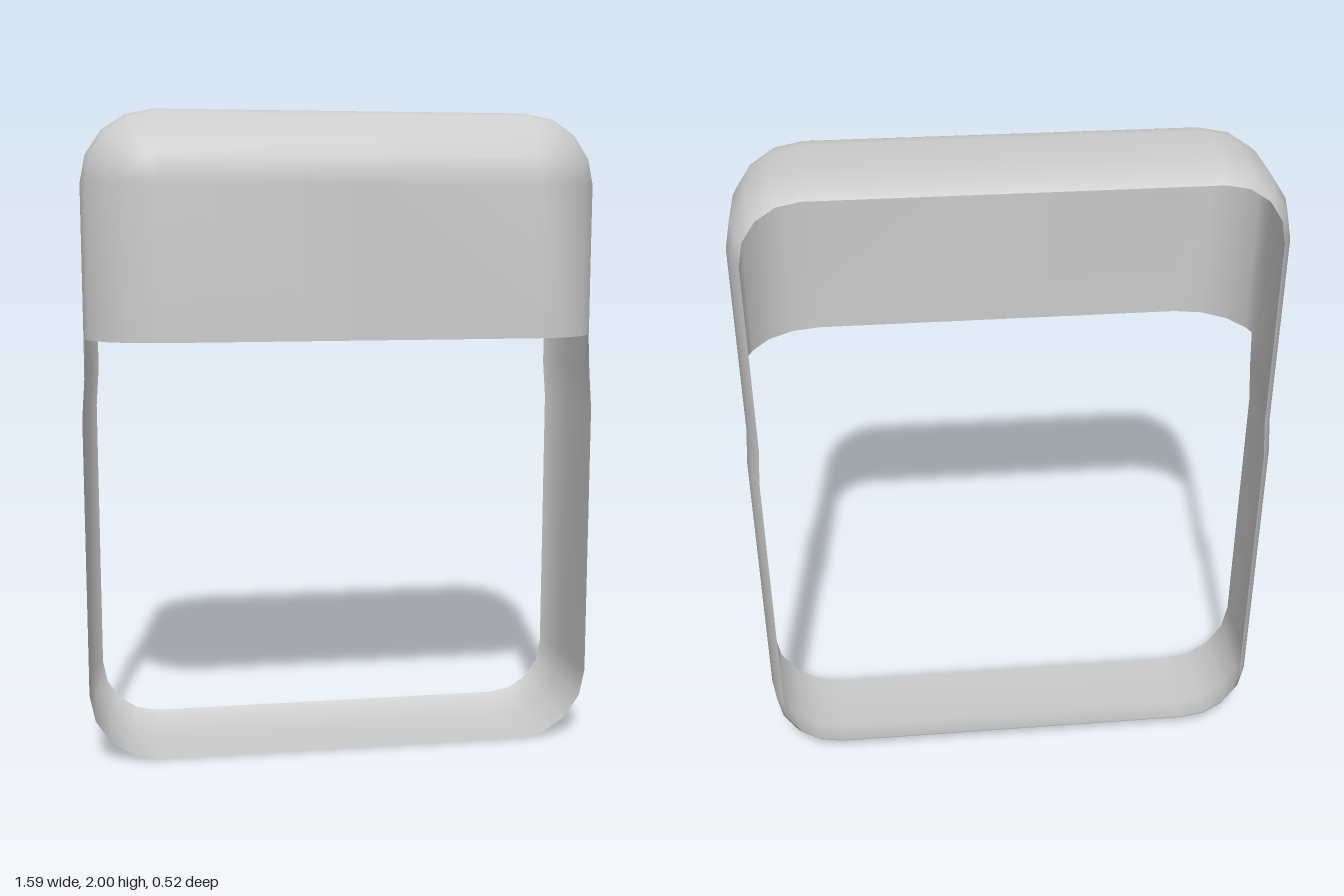
import * as THREE from 'three';
import { mergeGeometries, mergeVertices } from 'three/addons/utils/BufferGeometryUtils.js';

const R = 0.22, TOP = 2, HOOD_Y = 1.32;

// Half width: the lower frame is a little wider than the hood
const halfWidth = y => THREE.MathUtils.lerp(0.797, 0.788, THREE.MathUtils.clamp((y - 1.08) / 0.12, 0, 1));

// Rounded corner of the outline, drawn in by `inset`
function corner(sx, top, start, inset) {
  const r = R - inset, pts = [];
  const cx = sx * (halfWidth(top ? TOP : 0) - R), cy = top ? TOP - R : R;
  for (let i = 0; i <= 4; i++) {
    const a = start + i * Math.PI / 8;
    pts.push([cx + r * Math.cos(a), cy + r * Math.sin(a)]);
  }
  return pts;
}

const side = (sx, y, inset) => [sx * (halfWidth(y) - inset), y];

// Upper arch, from the left side over the top to the right side
const arch = s => [
  side(1, HOOD_Y, s), ...corner(1, true, 0, s),
  ...corner(-1, true, Math.PI / 2, s), side(-1, HOOD_Y, s),
];

// Lower part that closes the arch into a full loop
const lower = s => [
  side(-1, 1.2, s), side(-1, 1.08, s), ...corner(-1, false, Math.PI, s),
  ...corner(1, false, Math.PI * 1.5, s), side(1, 1.08, s), side(1, 1.2, s),
];

// Joins rows of points, running from back to front, into one surface
function loft(rows, closed) {
  const n = rows[0].length, index = [];
  for (let j = 0; j < rows.length - 1; j++) {
    for (let i = 0; i < (closed ? n : n - 1); i++) {
      const k = (i + 1) % n;
      const a = j * n + i, b = j * n + k, c = b + n, d = a + n;
      index.push(a, b, c, a, c, d);
    }
  }
  const g = new THREE.BufferGeometry();
  g.setAttribute('position', new THREE.Float32BufferAttribute(rows.flat(2), 3));
  g.setIndex(index);
  return g;
}

const atZ = (pts, z) => pts.map(([x, y]) => [x, y, z]);

export function createModel() {
  const group = new THREE.Group();
  group.name = 'hoodedFrame';

  // Open frame: back lip turned inward, straight band, front edge
  const seam = Math.asin(0.05 / R), seamInset = R * (1 - Math.cos(seam));
  const frameRows = [[-0.26, 0.042], [-0.23, 0.019], [-0.14, 0], [0.04, 0]]
    .map(([z, s]) => atZ([...arch(s), ...lower(s)], z));
  frameRows.push(atZ([...arch(seamInset), ...lower(0)], 0.09));
  const frame = loft(frameRows, true);

  // Hood: the arch rolls forward into a flat front panel
  const hoodRows = [seam, Math.PI / 8, Math.PI / 4, Math.PI * 3 / 8, Math.PI / 2]
    .map(a => atZ(arch(R * (1 - Math.cos(a))), 0.04 + R * Math.sin(a)));
  hoodRows.push(hoodRows[4].map(([, y, z]) => [0, y, z]));
  const hood = loft(hoodRows, false);

  // Weld both so the shading runs smoothly across the seam
  const shell = mergeVertices(mergeGeometries([frame, hood]), 1e-4);
  shell.computeVertexNormals();

  const mesh = new THREE.Mesh(shell, new THREE.MeshStandardMaterial({ color: 0xcccccc, side: THREE.DoubleSide }));
  mesh.name = 'frameAndHood';
  group.add(mesh);
  return group;
}
